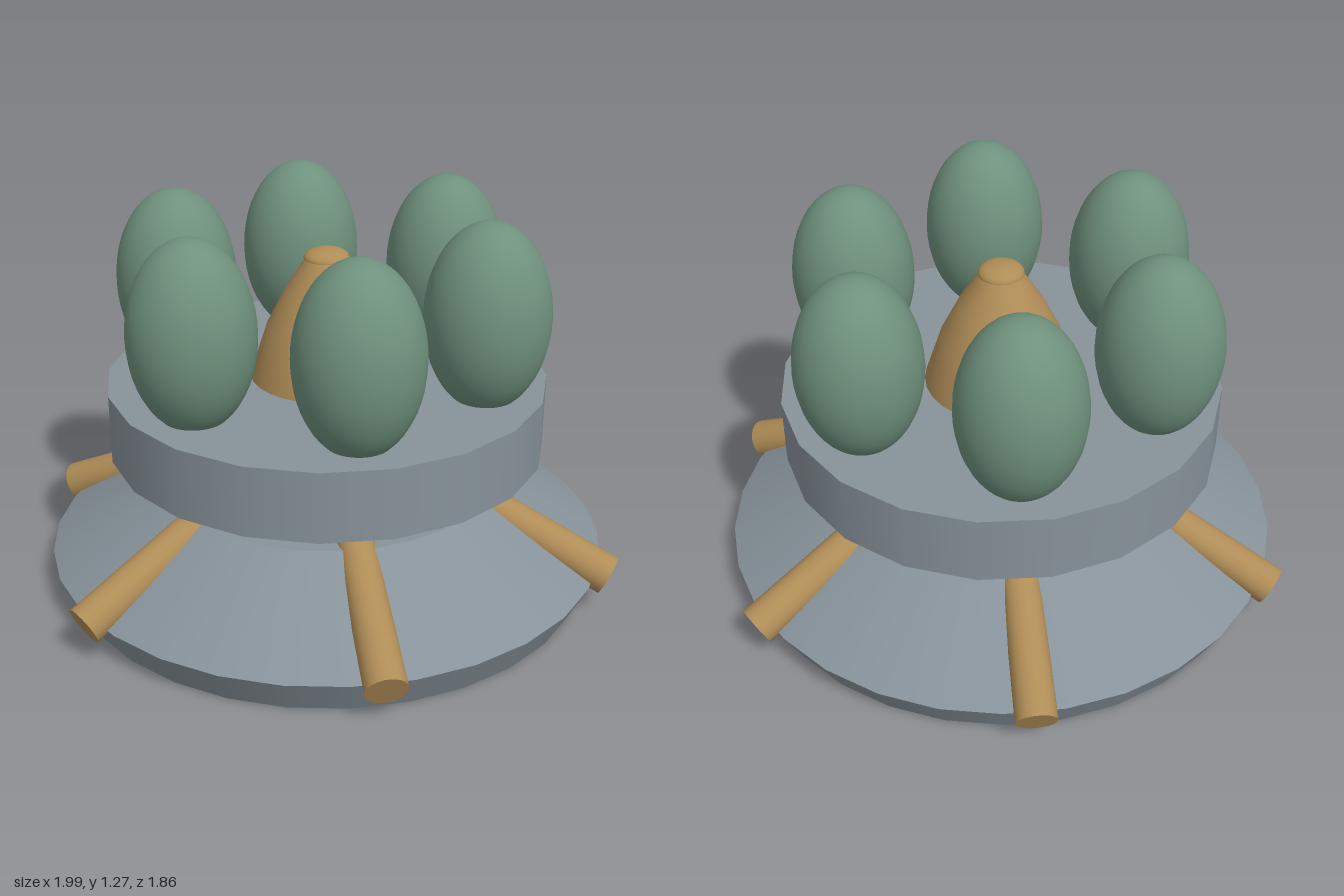
import * as THREE from 'three';

export function createModel() {
  const model = new THREE.Group();
  const grey = new THREE.MeshStandardMaterial({ name: 'grey metal', color: 0x87929a });
  const brass = new THREE.MeshStandardMaterial({ name: 'brass', color: 0xb08d57 });
  const green = new THREE.MeshStandardMaterial({ name: 'sage green', color: 0x6f917d });

  const add = (name, geometry, material, x = 0, y = 0, z = 0, parent = model) => {
    const mesh = new THREE.Mesh(geometry, material);
    mesh.name = name;
    mesh.position.set(x, y, z);
    parent.add(mesh);
    return mesh;
  };
  // Capped frustum between two heights
  const frustum = (name, rTop, rBottom, y0, y1, sides, material) =>
    add(name, new THREE.CylinderGeometry(rTop, rBottom, y1 - y0, sides), material, 0, (y0 + y1) / 2);

  // Saucer base and upper platform
  frustum('baseRim', 0.93, 0.87, 0, 0.12, 30, grey);
  frustum('baseSlope', 0.56, 0.93, 0.12, 0.35, 30, grey);
  frustum('platform', 0.72, 0.72, 0.47, 0.7, 20, grey);

  // Bullet-shaped core through the middle, with a domed cap
  const profile = [
    [0, 0.002], [0.18, 0.002], [0.228, 0.35], [0.245, 0.42], [0.255, 0.56], [0.25, 0.7],
    [0.195, 0.87], [0.135, 0.99], [0.065, 1.1],
  ].map(([r, y]) => new THREE.Vector2(r, y));
  add('core', new THREE.LatheGeometry(profile, 28), brass);
  const cap = add('coreCap', new THREE.SphereGeometry(0.074, 20, 8, 0, Math.PI * 2, 0, Math.PI / 2), brass, 0, 1.097, 0);
  cap.scale.y = 0.45;
  const capBase = add('coreCapUnderside', new THREE.CircleGeometry(0.074, 20), brass, 0, 1.097, 0);
  capBase.rotation.x = Math.PI / 2;

  // Small blocks on the front of the neck
  for (const x of [-0.08, 0.08]) {
    add('frontBlock', new THREE.BoxGeometry(0.065, 0.065, 0.06), brass, x, 0.447, 0.235);
  }

  // Six sloping struts and six egg-shaped pods, every 60 degrees
  const inner = new THREE.Vector2(0.473, 0.35);
  const outer = new THREE.Vector2(0.97, 0.125);
  const span = outer.clone().sub(inner);
  const strutGeometry = new THREE.CylinderGeometry(0.06, 0.066, span.length(), 18);
  const podGeometry = new THREE.SphereGeometry(0.2, 32, 24);
  podGeometry.scale(1, 1.535, 1);

  for (let i = 0; i < 6; i++) {
    const arm = new THREE.Group();
    arm.name = 'strutAndPod';
    arm.rotation.y = (i * Math.PI) / 3;
    model.add(arm);
    const strut = add('strut', strutGeometry, brass, (inner.x + outer.x) / 2, (inner.y + outer.y) / 2, 0, arm);
    strut.rotation.z = Math.atan2(-span.y, -span.x) - Math.PI / 2;
    add('pod', podGeometry, green, 0.53, 0.965, 0, arm);
  }
  return model;
}
